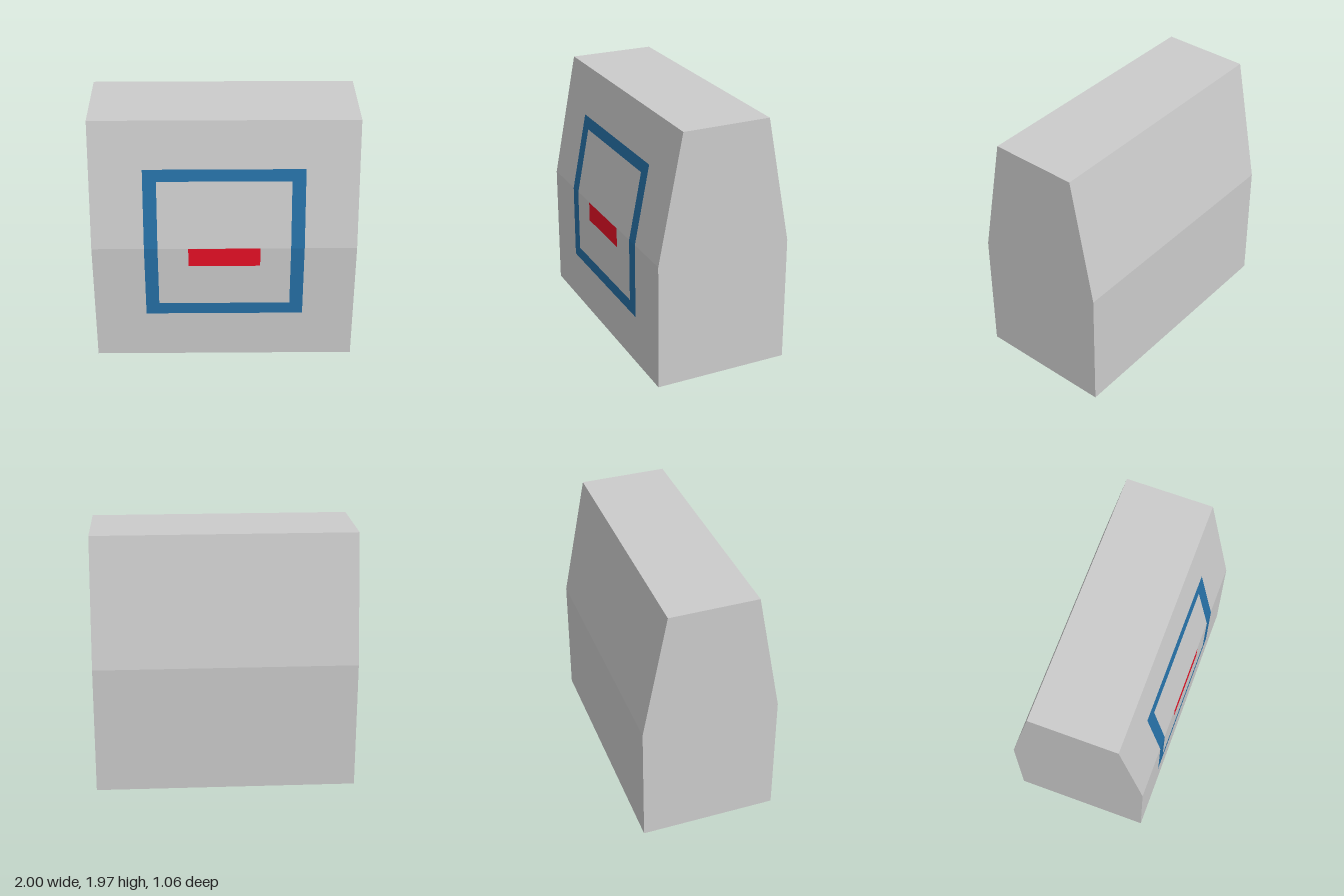
import * as THREE from 'three';
import { mergeGeometries } from 'three/addons/utils/BufferGeometryUtils.js';

const HEIGHT = 1.965, WAIST = 0.985, DEPTH = 0.527, TOP_DEPTH = 0.337;

// Front surface: upright below the waist, leaning back above it
const frontZ = (y) => y <= WAIST
  ? DEPTH
  : DEPTH - (DEPTH - TOP_DEPTH) * (y - WAIST) / (HEIGHT - WAIST);

// Flat patch laid just proud of the front surface
function patch(x0, x1, y0, y1) {
  const g = new THREE.PlaneGeometry(x1 - x0, y1 - y0);
  g.translate((x0 + x1) / 2, (y0 + y1) / 2, 0);
  const p = g.attributes.position;
  for (let i = 0; i < p.count; i++) p.setZ(i, frontZ(p.getY(i)) + 0.002);
  g.computeVertexNormals();
  return g;
}

function addPart(group, name, geometry, color) {
  const mesh = new THREE.Mesh(geometry, new THREE.MeshStandardMaterial({ color }));
  mesh.name = name;
  group.add(mesh);
}

export function createModel() {
  const model = new THREE.Group();
  model.name = 'taperedCase';

  // Body: side profile extruded across the width
  const profile = new THREE.Shape([
    [-DEPTH, 0], [DEPTH, 0], [DEPTH, WAIST],
    [TOP_DEPTH, HEIGHT], [-TOP_DEPTH, HEIGHT], [-DEPTH, WAIST],
  ].map(([z, y]) => new THREE.Vector2(z, y)));
  const body = new THREE.ExtrudeGeometry(profile, { depth: 2, bevelEnabled: false });
  body.translate(0, 0, -1).rotateY(Math.PI / 2);
  addPart(model, 'body', body, 0xcccccc);

  // Square frame that folds over the waist
  const outer = 0.605, inner = 0.503;
  const bottom = 0.39, innerBottom = 0.487, innerTop = 1.508, top = 1.6;
  const frame = [
    patch(-outer, outer, bottom, innerBottom),
    patch(-outer, outer, innerTop, top),
  ];
  for (const [x0, x1] of [[-outer, -inner], [inner, outer]]) {
    frame.push(patch(x0, x1, innerBottom, WAIST), patch(x0, x1, WAIST, innerTop));
  }
  addPart(model, 'frontFrame', mergeGeometries(frame), 0x2670a6);

  // Red bar under the waist
  addPart(model, 'frontBar', patch(-0.272, 0.272, 0.83, WAIST), 0xe81026);

  return model;
}
